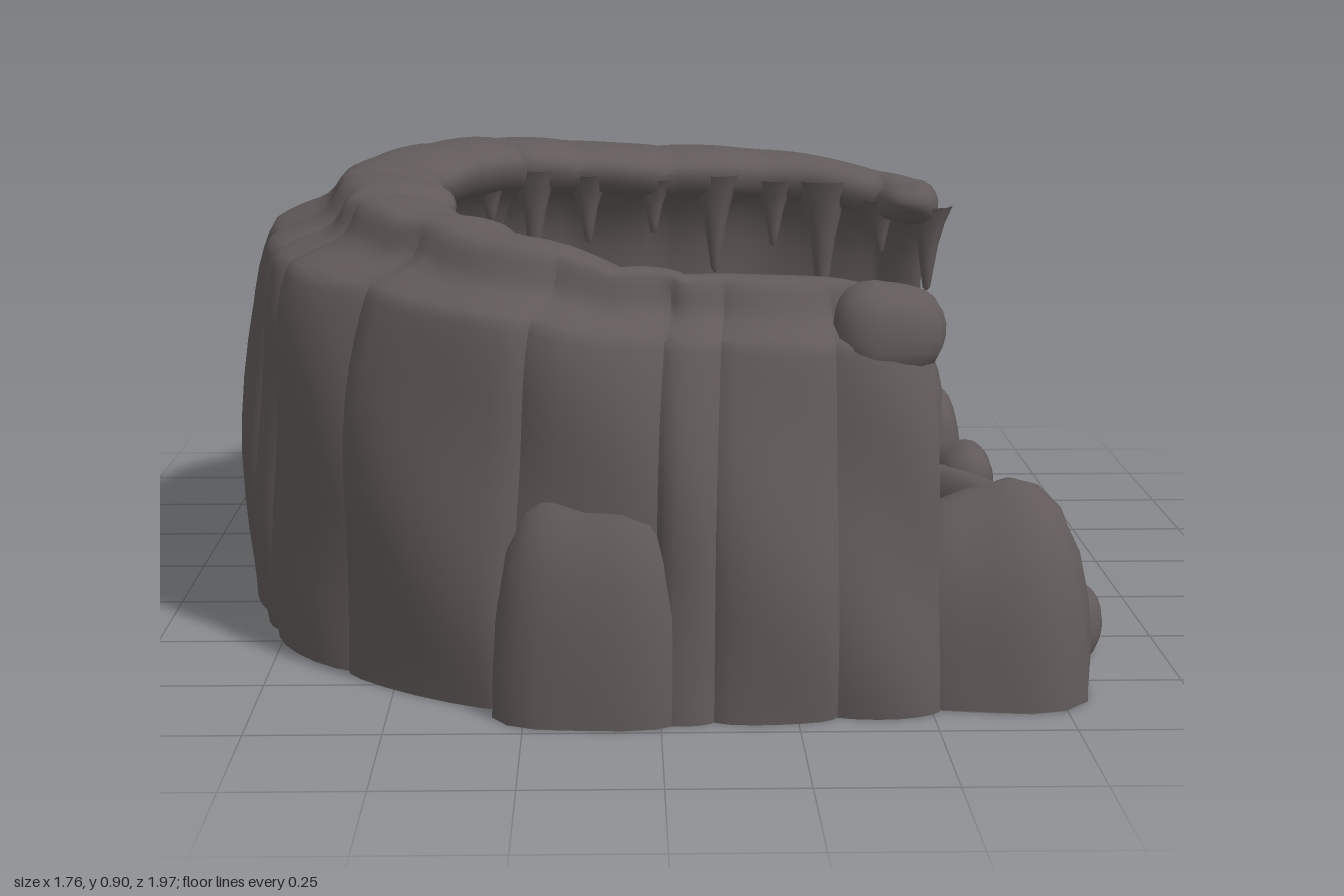
import * as THREE from 'three';
import { toCreasedNormals } from 'three/addons/utils/BufferGeometryUtils.js';

const rock = new THREE.MeshStandardMaterial({ color: 0x625a5a });
rock.name = 'darkRock';

function seeded(seed) {
  return () => {
    seed = (seed * 16807) % 2147483647;
    return seed / 2147483647;
  };
}

// Skin a list of rings (arrays of Vector3); every ring is a closed loop
function skin(rings, crease = 0.7) {
  const n = rings[0].length;
  const pos = rings.flat().flatMap((p) => [p.x, p.y, p.z]);
  const index = [];
  for (let i = 0; i < rings.length - 1; i++) {
    for (let j = 0; j < n; j++) {
      const k = (j + 1) % n;
      const a = i * n + j, b = a + n, c = i * n + k, d = c + n;
      index.push(a, b, c, b, d, c);
    }
  }
  const g = new THREE.BufferGeometry();
  g.setAttribute('position', new THREE.Float32BufferAttribute(pos, 3));
  g.setIndex(index);
  return toCreasedNormals(g, crease);
}

// Ring collapsed to its middle, to close an end
function collapsed(ring) {
  const c = ring.reduce((s, p) => s.add(p), new THREE.Vector3()).divideScalar(ring.length);
  return ring.map(() => c);
}

// Slab pattern: uneven segments, each bulging between two grooves
function slabs(count, seed) {
  const rnd = seeded(seed);
  const cuts = [0];
  for (let i = 1; i < count; i++) cuts.push((i + (rnd() - 0.5) * 0.75) / count);
  cuts.push(1);
  const offset = Array.from({ length: count }, () => rnd());
  const bulge = (u) => {
    let i = 0;
    while (i < count - 1 && u >= cuts[i + 1]) i++;
    const t = (u - cuts[i]) / (cuts[i + 1] - cuts[i]);
    return Math.pow(Math.max(0, 4 * t * (1 - t)), 0.45) * 0.55 + offset[i] * 0.45;
  };
  const samples = [];
  for (let i = 0; i < count; i++) {
    for (const t of [0.02, 0.12, 0.3, 0.5, 0.7, 0.88, 0.98]) samples.push(cuts[i] + t * (cuts[i + 1] - cuts[i]));
  }
  return { bulge, samples };
}

// Wall plan from the back end round to the front end:
// outer x, outer z, lip x, lip z, top height, inward lean
const PLAN = [
  [0.68, -0.82, 0.69, -0.57, 0.79, 0.2], [0.55, -0.91, 0.52, -0.62, 0.82, 0.15],
  [0.35, -0.97, 0.36, -0.65, 0.85, 0.1], [0.12, -0.99, 0.15, -0.58, 0.87, 0.1],
  [-0.1, -0.95, -0.02, -0.51, 0.88, 0.05], [-0.32, -0.87, -0.2, -0.46, 0.9, 0],
  [-0.56, -0.74, -0.3, -0.4, 0.91, 0], [-0.75, -0.51, -0.4, -0.26, 0.91, 0],
  [-0.86, -0.25, -0.46, -0.1, 0.9, 0], [-0.88, 0.02, -0.46, 0.02, 0.9, 0],
  [-0.85, 0.27, -0.42, 0.15, 0.9, 0], [-0.76, 0.5, -0.38, 0.33, 0.89, 0],
  [-0.58, 0.72, -0.28, 0.47, 0.87, 0.05], [-0.36, 0.87, -0.15, 0.58, 0.85, 0.12],
  [-0.1, 0.96, -0.02, 0.64, 0.81, 0.25], [0.15, 0.98, 0.18, 0.65, 0.79, 0.36],
  [0.38, 0.96, 0.36, 0.65, 0.78, 0.4], [0.52, 0.93, 0.49, 0.66, 0.76, 0.4],
];
const curve = (a, b, c) => new THREE.CatmullRomCurve3(PLAN.map((r) => new THREE.Vector3(r[a], r[b], r[c])));
const outerCurve = curve(0, 4, 1), lipCurve = curve(2, 5, 3);

// Wall section: x = share of the way from outer face to lip, y = share of the height;
// a rounded shoulder, then a raised slab that overhangs the inside
const SECTION = [
  [0.02, 0.012], [0, 0.2], [0.01, 0.45], [0.05, 0.7], [0.12, 0.845], [0.2, 0.88], [0.4, 0.92],
  [0.5, 0.985], [0.62, 1], [0.8, 0.995], [0.94, 0.975], [1, 0.94], [0.95, 0.885], [0.82, 0.85],
  [0.68, 0.72], [0.63, 0.5], [0.66, 0.3], [0.8, 0.012],
];

function wallGeometry() {
  const outerSlabs = slabs(17, 2024), lipSlabs = slabs(15, 431);
  const fine = new THREE.SplineCurve(SECTION.map(([x, y]) => new THREE.Vector2(x, y))).getPoints(51);
  const rings = outerSlabs.samples.map((u) => {
    const o = outerCurve.getPoint(u), l = lipCurve.getPoint(u);
    const out = new THREE.Vector3(o.x - l.x, 0, o.z - l.z).normalize();
    const ob = (outerSlabs.bulge(u) - 0.8) * 0.045, lb = (lipSlabs.bulge(u) - 0.7) * 0.045;
    return fine.map(({ x, y }) => {
      const s = x + l.y * Math.pow(Math.max(y, 0), 1.5) * (1 - x);
      const top = THREE.MathUtils.smoothstep(y, 0.75, 0.95);
      const inner = THREE.MathUtils.smoothstep(x, 0.35, 0.6);
      const ripple = 0.008 * Math.sin(9 * y + 40 * u);
      const push = (ob + ripple) * (1 - inner) - lb * inner;
      return new THREE.Vector3(
        o.x + (l.x - o.x) * s + out.x * push,
        Math.max(0.012, y * o.y + lb * 0.4 * top),
        o.z + (l.z - o.z) * s + out.z * push);
    });
  });
  return skin([collapsed(rings[0]), ...rings, collapsed(rings[rings.length - 1])]);
}

// Pool surround: a low rim in front that rises into a bench along the wall
function surroundGeometry() {
  const { bulge, samples } = slabs(16, 1903);
  const rings = samples.map((u) => {
    const a = u * Math.PI * 2, b = (bulge(u) - 0.75) * 0.045;
    const f = 1 - THREE.MathUtils.smoothstep(Math.cos(a), 0.1, 0.7);
    const profile = [
      [0.5, 0.012], [0.5 - b * 0.5, 0.08], [0.515 - b, 0.125], [0.54 - b * 0.5, 0.14 + b * 0.4],
      [0.555 - b, 0.14 + 0.14 * f], [0.575 - b * 0.5, 0.14 + 0.175 * f + b * 0.4],
      [0.58 + 0.28 * f + b, 0.13 + 0.195 * f], [0.605 + 0.28 * f + b, 0.09 + 0.1 * f],
      [0.605 + 0.28 * f + b, 0.012],
    ];
    return profile.map(([r, y]) => new THREE.Vector3(0.27 + r * Math.cos(a), y, r * Math.sin(a)));
  });
  rings.push(rings[0]);
  return skin(rings, 0.8);
}

// Rounded lumpy stone, flattened where it meets the ground
function boulderGeometry(x, y, z, sx, sy, sz) {
  const g = new THREE.SphereGeometry(1, 20, 14);
  const p = g.attributes.position, v = new THREE.Vector3();
  for (let i = 0; i < p.count; i++) {
    v.fromBufferAttribute(p, i);
    const box = 1 / Math.pow(v.x ** 4 + v.y ** 4 + v.z ** 4, 0.13);
    const lump = 1 + 0.05 * Math.sin(4 * v.x + 9 * x) + 0.05 * Math.sin(5 * v.z + 3 * v.y + 7 * z);
    v.multiplyScalar((0.45 + 0.55 * box) * lump * 0.93);
    p.setXYZ(i, x + v.x * sx, Math.max(0.012, y + v.y * sy), z + v.z * sz);
  }
  return toCreasedNormals(g, 0.9);
}

// Tapering stalactite with a flared root
function stalactiteGeometry(length, radius) {
  const points = [[0, -1], [0.2, -0.95], [0.36, -0.7], [0.55, -0.4], [0.85, -0.12], [1.25, 0.12]];
  return new THREE.LatheGeometry(points.map(([r, y]) => new THREE.Vector2(r * radius, y * length)), 9);
}

export function createModel() {
  const model = new THREE.Group();
  model.name = 'rockGrotto';
  const add = (name, geometry) => {
    const mesh = new THREE.Mesh(geometry, rock);
    mesh.name = name;
    model.add(mesh);
    return mesh;
  };

  add('caveWall', wallGeometry());
  add('poolSurround', surroundGeometry());

  // Recessed pool floor
  add('poolFloor', new THREE.CylinderGeometry(0.52, 0.52, 0.025, 48)).position.set(0.27, 0.06, 0);

  // Stones at the wall ends and against the wall
  const stones = [
    ['frontBoulder', 0.62, 0, 0.73, 0.21, 0.42, 0.21],
    ['frontSlab', -0.12, 0, 0.88, 0.19, 0.48, 0.13],
    ['frontPebble', 0.81, 0.07, 0.575, 0.08, 0.09, 0.09],
    ['backBoulder', 0.63, 0, -0.71, 0.15, 0.43, 0.19],
    ['backPebble', 0.785, 0.06, -0.56, 0.085, 0.09, 0.11],
    ['backSideStone', 0.72, 0.06, -0.72, 0.09, 0.2, 0.12],
    ['benchStone', 0.45, 0.1, 0.58, 0.12, 0.1, 0.07],
    ['frontLipEnd', 0.42, 0.69, 0.74, 0.11, 0.1, 0.105],
    ['backLipEnd', 0.64, 0.74, -0.63, 0.08, 0.055, 0.12],
  ];
  for (const [name, ...spec] of stones) add(name, boulderGeometry(...spec));

  // Stalactites along the lip: place along the lip, length
  const hanging = [
    [0.0, 0.19], [0.04, 0.12], [0.09, 0.28], [0.13, 0.15], [0.17, 0.22], [0.22, 0.12], [0.27, 0.15],
    [0.32, 0.2], [0.37, 0.1], [0.43, 0.12], [0.48, 0.22], [0.54, 0.09], [0.6, 0.08],
    [0.645, 0.25], [0.69, 0.1], [0.73, 0.19], [0.775, 0.25], [0.83, 0.18], [0.88, 0.08],
  ];
  for (const [u, length] of hanging) {
    const o = outerCurve.getPoint(u), l = lipCurve.getPoint(u);
    const s = add('stalactite', stalactiteGeometry(length, 0.028 + length * 0.1));
    s.position.set(l.x + (o.x - l.x) * 0.13, o.y * 0.9, l.z + (o.z - l.z) * 0.13);
  }
  return model;
}
